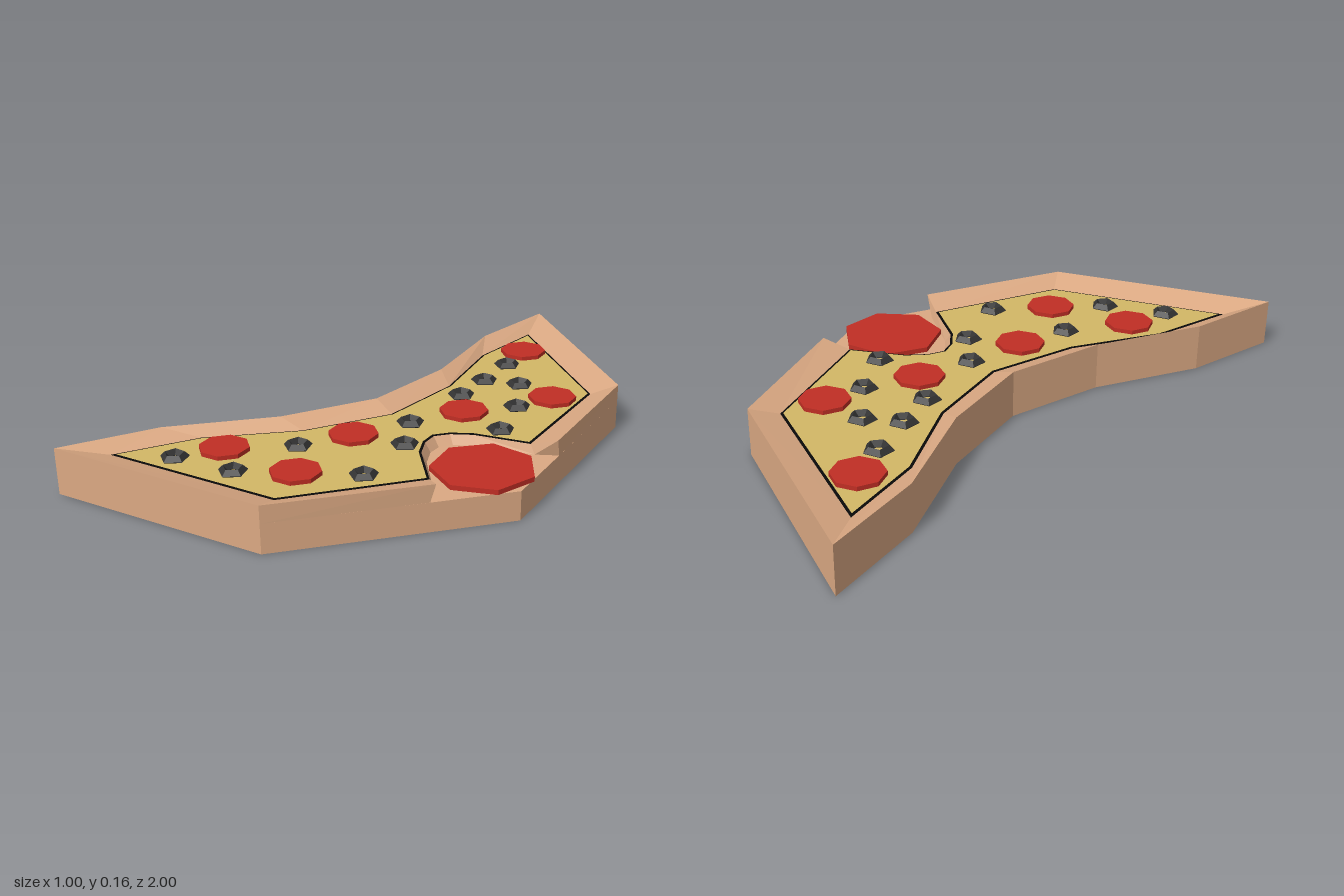
import * as THREE from 'three';

const FLOOR = 0.097, CHEESE = 0.126, RIM = 0.155;

const mat = (name, color, side = THREE.FrontSide) =>
  Object.assign(new THREE.MeshStandardMaterial({ color, side, flatShading: true }), { name });

// Mirror a half outline (ending on the z = 0 line) to the other side
const mirror = half => [...half, ...half.slice(0, -1).reverse().map(([x, z]) => [x, -z])];

// Shape lying in the xz plane, laid flat after rotation
const flatShape = pts => new THREE.Shape(pts.map(([x, z]) => new THREE.Vector2(x, -z)));

// Move each corner of a closed loop inward by d
function inset(pts, d) {
  const n = pts.length;
  const normal = (a, b) => {
    const dx = b[0] - a[0], dz = b[1] - a[1], l = Math.hypot(dx, dz);
    return [dz / l, -dx / l];
  };
  return pts.map((p, i) => {
    const a = normal(pts[(i + n - 1) % n], p), b = normal(p, pts[(i + 1) % n]);
    const k = d / (1 + a[0] * b[0] + a[1] * b[1]);
    return [p[0] + (a[0] + b[0]) * k, p[1] + (a[1] + b[1]) * k];
  });
}

function quads(list) {
  const pos = [];
  for (const [a, b, c, d] of list) pos.push(...a, ...b, ...c, ...a, ...c, ...d);
  const g = new THREE.BufferGeometry();
  g.setAttribute('position', new THREE.Float32BufferAttribute(pos, 3));
  g.computeVertexNormals();
  return g;
}

export function createModel() {
  const group = new THREE.Group();
  const crust = mat('crust', 0xdba983, THREE.DoubleSide);
  const cheese = mat('cheese', 0xd2b766);
  const red = mat('pepperoni', 0xc02e24);
  const olive = mat('olive', 0x333333);
  const char = mat('charred edge', 0x080808);

  const add = (name, geo, m, x = 0, y = 0, z = 0) => {
    const mesh = new THREE.Mesh(geo, m);
    mesh.name = name;
    mesh.position.set(x, y, z);
    group.add(mesh);
    return mesh;
  };

  // Outlines as [x, z]
  const concave = [[-0.5, -1], [-0.44, -0.67], [-0.28, -0.33], [-0.21, 0]];
  const outer = mirror([[0.4, -0.24], [0.2, -0.71], ...concave]);
  const inner = mirror([[0.32, -0.2], [0.15, -0.63], [-0.41, -0.86],
    [-0.35, -0.58], [-0.2, -0.3], [-0.13, 0]]);
  const bite = mirror([[0.32, 0.2], [0.16, 0.105], [0.11, 0.05], [0.09, 0]]);
  const biteFloor = mirror([[0.34, 0.2], [0.18, 0.1], [0.13, 0.045], [0.115, 0]]);

  // Crescent slab including the pointed tip
  const base = new THREE.ExtrudeGeometry(
    flatShape([[0.5, 0], ...mirror([[0.2, -0.71], ...concave])]),
    { depth: FLOOR, bevelEnabled: false });
  base.rotateX(-Math.PI / 2);
  add('crustBase', base, crust);

  // Raised rim: outer wall and inward slope
  const at = ([x, z], y) => [x, y, z];
  const foot = outer.map(p => [...p]);
  foot[0] = [0.392, -0.255];
  foot[foot.length - 1] = [0.392, 0.255];
  const rim = [];
  for (let i = 0; i < outer.length - 1; i++) {
    const j = i + 1;
    rim.push([at(foot[i], FLOOR), at(foot[j], FLOOR), at(outer[j], RIM), at(outer[i], RIM)]);
    rim.push([at(outer[i], RIM), at(outer[j], RIM), at(inner[j], CHEESE), at(inner[i], CHEESE)]);
  }
  // Rim ends beside the bite
  for (const s of [-1, 1]) {
    rim.push([[0.4, RIM, 0.24 * s], [0.32, CHEESE, 0.2 * s],
      [0.34, FLOOR, 0.2 * s], [0.392, FLOOR, 0.255 * s]]);
  }
  add('crustRim', quads(rim), crust);

  // Wall of the bite
  add('biteWall', quads(bite.slice(1).map((p, i) => [
    at(bite[i], CHEESE), at(p, CHEESE), at(biteFloor[i + 1], FLOOR), at(biteFloor[i], FLOOR)])), crust);

  // Cheese with a thin dark border
  const loop = [...inner, ...bite.slice(1, -1)];
  const plate = (pts) => new THREE.ShapeGeometry(flatShape(pts)).rotateX(-Math.PI / 2);
  add('charredEdge', plate(loop), char, 0, CHEESE, 0);
  add('cheese', plate(inset(loop, 0.008)), cheese, 0, CHEESE + 0.002, 0);

  // Pepperoni slices
  const slice = new THREE.CylinderGeometry(0.08, 0.08, 0.016, 8);
  [[-0.275, -0.71], [0.105, -0.495], [0.01, -0.19], [-0.063, 0.2], [0.05, 0.49], [-0.225, 0.57]]
    .forEach(([x, z]) => add('pepperoni', slice, red, x, 0.134, z));
  const big = add('largePepperoni', new THREE.CylinderGeometry(0.165, 0.165, 0.016, 7), red, 0.33, 0.106, 0);
  big.rotation.y = -Math.PI / 2;

  // Olive rings
  const ring = new THREE.TorusGeometry(0.031, 0.016, 4, 5).rotateX(-Math.PI / 2);
  [[-0.217, -0.58], [-0.053, -0.49], [-0.155, -0.42], [0.085, -0.355], [-0.105, -0.275], [0.19, -0.19],
    [-0.03, 0], [0.09, 0.115], [-0.105, 0.38], [0.185, 0.34], [-0.075, 0.63], [-0.265, 0.72]]
    .forEach(([x, z]) => add('oliveRing', ring, olive, x, 0.131, z));

  return group;
}
